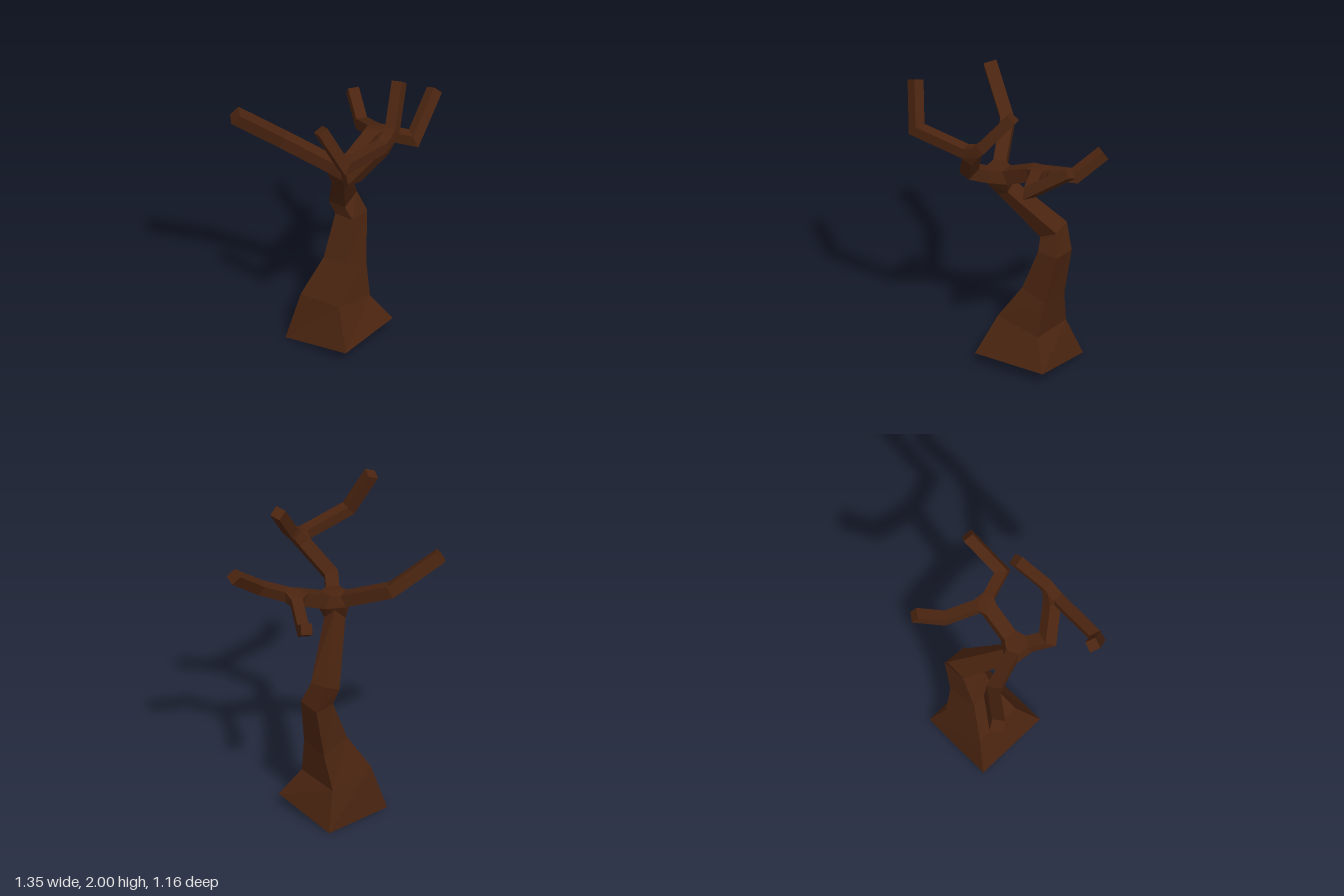
import * as THREE from 'three';
import { ConvexGeometry } from 'three/addons/geometries/ConvexGeometry.js';

const bark = new THREE.MeshStandardMaterial({ color: 0x4a2410 });
bark.name = 'dark bark';

const V = (a) => new THREE.Vector3(...a);

// Skins a list of four-cornered rings with faceted walls and optional end caps
function skin(rings, capStart, capEnd) {
  const pos = [];
  const quad = (a, b, c, d) => [a, b, c, a, c, d].forEach((p) => pos.push(p.x, p.y, p.z));
  for (let k = 0; k < rings.length - 1; k++) {
    const r = rings[k], s = rings[k + 1];
    for (let i = 0; i < 4; i++) {
      const j = (i + 1) % 4;
      quad(r[i], r[j], s[j], s[i]);
    }
  }
  if (capStart) quad(...[...rings[0]].reverse());
  if (capEnd) quad(...rings[rings.length - 1]);
  const g = new THREE.BufferGeometry();
  g.setAttribute('position', new THREE.Float32BufferAttribute(pos, 3));
  g.computeVertexNormals();
  return g;
}

// Square rings along a bent path, mitred at each bend
function sweepRings(path, half, startGap, endGap = 0) {
  const p = path.map(V);
  const dirs = p.slice(1).map((q, i) => q.clone().sub(p[i]).normalize());
  const last = p.length - 1;
  p[0].addScaledVector(dirs[0], startGap);
  p[last].addScaledVector(dirs[last - 1], -endGap);
  const u = new THREE.Vector3(0, 1, 0).cross(dirs[0]).normalize();
  const v = dirs[0].clone().cross(u);
  let ring = [[1, 1], [-1, 1], [-1, -1], [1, -1]].map(([a, b]) =>
    p[0].clone().addScaledVector(u, a * half).addScaledVector(v, b * half));
  const rings = [ring];
  for (let k = 1; k <= last; k++) {
    const d = dirs[k - 1];
    const n = k < last ? d.clone().add(dirs[k]).normalize() : d;
    ring = ring.map((c) => c.clone().addScaledVector(d, p[k].clone().sub(c).dot(n) / d.dot(n)));
    rings.push(ring);
  }
  return rings;
}

export function createModel() {
  const tree = new THREE.Group();
  tree.name = 'bareTree';
  const add = (name, geometry) => {
    const m = new THREE.Mesh(geometry, bark);
    m.name = name;
    tree.add(m);
  };

  // Trunk: corners in the order left, front, right, back
  const trunk = [
    [[-0.31, 0, -0.19], [-0.03, 0.08, 0.19], [0.35, 0.08, -0.11], [0.07, 0, -0.48]],
    [[-0.21, 0.3, -0.2], [-0.03, 0.32, 0.04], [0.21, 0.26, -0.13], [0.04, 0.24, -0.38]],
    [[-0.06, 0.53, -0.22], [0.05, 0.54, -0.09], [0.2, 0.49, -0.18], [0.09, 0.47, -0.35]],
    [[0.03, 0.8, -0.28], [0.11, 0.81, -0.17], [0.225, 0.81, -0.25], [0.14, 0.8, -0.38]],
    [[-0.01, 0.9, -0.28], [0.07, 0.89, -0.2], [0.165, 0.95, -0.27], [0.08, 0.97, -0.37]],
    [[-0.07, 1.24, 0.01], [0, 1.21, 0.05], [0.06, 1.25, 0.01], [0, 1.32, -0.03]],
  ].map((r) => r.map(V));
  add('trunk', skin(trunk, true, false));

  // Nodes where limbs meet
  const crown = [0, 1.34, 0.05];
  const sideFork = [0.25, 1.48, -0.12];
  const frontFork = [0.2, 1.665, 0.295];

  // Limbs leaving the crown
  const rightLimb = sweepRings([crown, [-0.34, 1.51, -0.14], [-0.645, 1.74, -0.14]], 0.041, 0.09);
  const leftLimb = sweepRings([crown, sideFork], 0.045, 0.09, 0.05);
  const frontLimb = sweepRings([crown, [0, 1.42, 0.24], frontFork], 0.041, 0.08, 0.05);
  add('rightLimb', skin(rightLimb, false, true));
  add('leftLimb', skin(leftLimb, false, false));
  add('frontLimb', skin(frontLimb, false, false));

  // Forked twigs
  const twig = (name, path) => {
    const rings = sweepRings(path, 0.035, 0.05);
    add(name, skin(rings, false, true));
    return rings[0];
  };
  const outerTwig = twig('leftOuterTwig', [sideFork, [0.45, 1.475, 0.01], [0.635, 1.675, -0.185]]);
  const backTwig = twig('leftBackTwig', [sideFork, [0.22, 1.38, -0.37], [0.215, 1.5, -0.56]]);
  const upperTwig = twig('frontUpperTwig', [frontFork, [0.25, 1.73, 0.25], [0.34, 1.96, 0.08]]);
  const hookedTwig = twig('frontHookedTwig', [frontFork, [-0.13, 1.71, 0.535], [-0.27, 1.975, 0.49]]);

  // Knots joining the limbs
  const knot = (name, ...rings) => add(name, new ConvexGeometry(rings.flat()));
  knot('crownKnot', trunk[5], rightLimb[0], leftLimb[0], frontLimb[0]);
  knot('sideKnot', leftLimb[1], outerTwig, backTwig);
  knot('frontKnot', frontLimb[2], upperTwig, hookedTwig);

  return tree;
}
